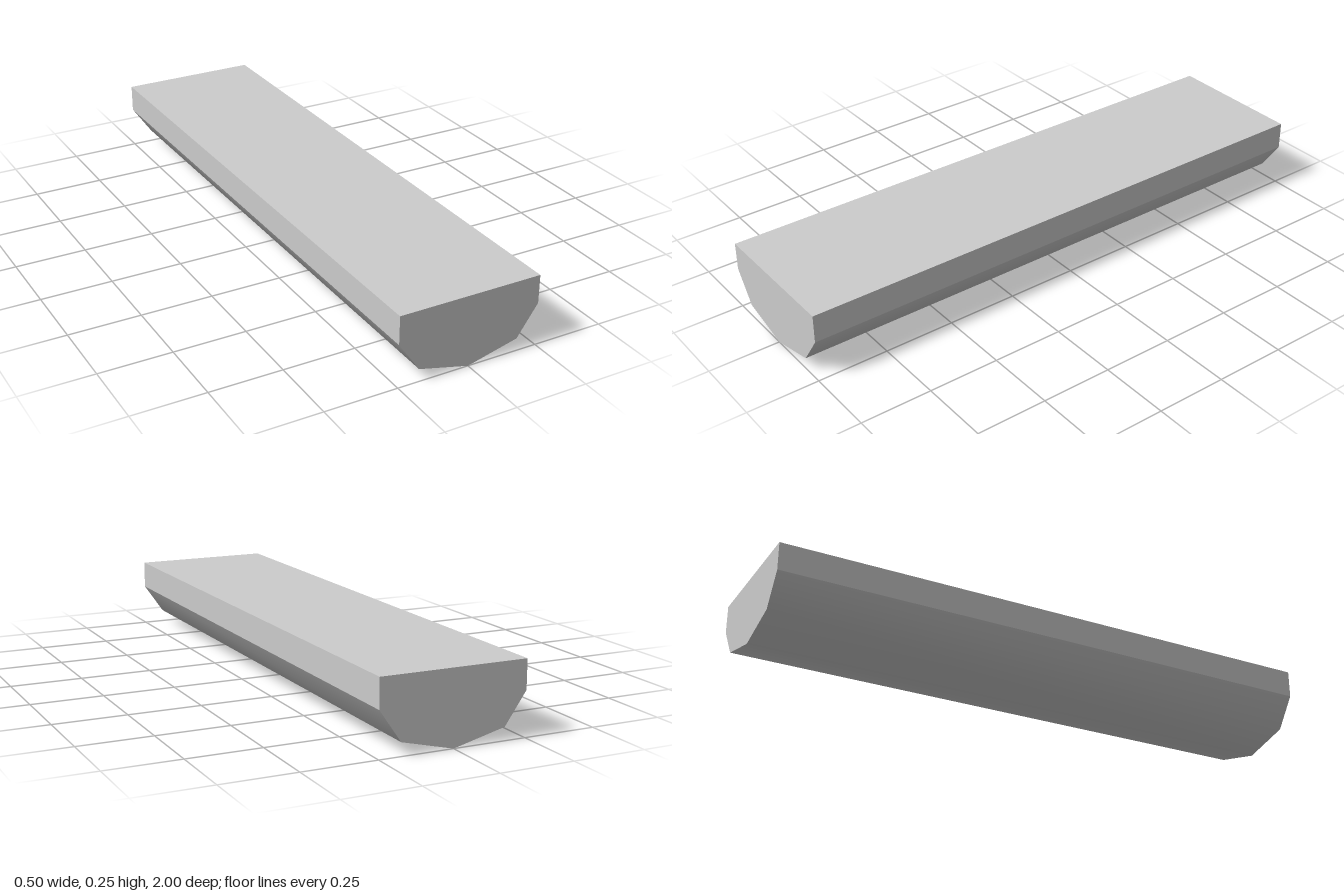
import * as THREE from 'three';

const WIDTH = 0.5, LENGTH = 2, RIM = 0.149, TOP = 0.247;

export function createModel() {
  const group = new THREE.Group();
  const material = new THREE.MeshStandardMaterial({ color: 0xcccccc });
  const add = (name, geometry) => {
    const mesh = new THREE.Mesh(geometry, material);
    mesh.name = name;
    group.add(mesh);
  };

  // Smooth-shaded underside: a flattened half cylinder of four facets, closed at both ends
  const r = WIDTH / 2;
  const belly = new THREE.CylinderGeometry(r, r, LENGTH, 4, 1, false, -Math.PI / 2, Math.PI);
  belly.rotateX(Math.PI / 2).scale(1, RIM / r, 1).translate(0, RIM, 0);
  belly.computeVertexNormals();
  add('roundedUnderside', belly);

  // Straight-sided upper slab, without the hidden bottom face
  const slab = new THREE.BoxGeometry(WIDTH, TOP - RIM, LENGTH).translate(0, (TOP + RIM) / 2, 0);
  const index = Array.from(slab.index.array);
  index.splice(18, 6);
  slab.setIndex(index);
  slab.clearGroups();
  add('upperSlab', slab);

  return group;
}
